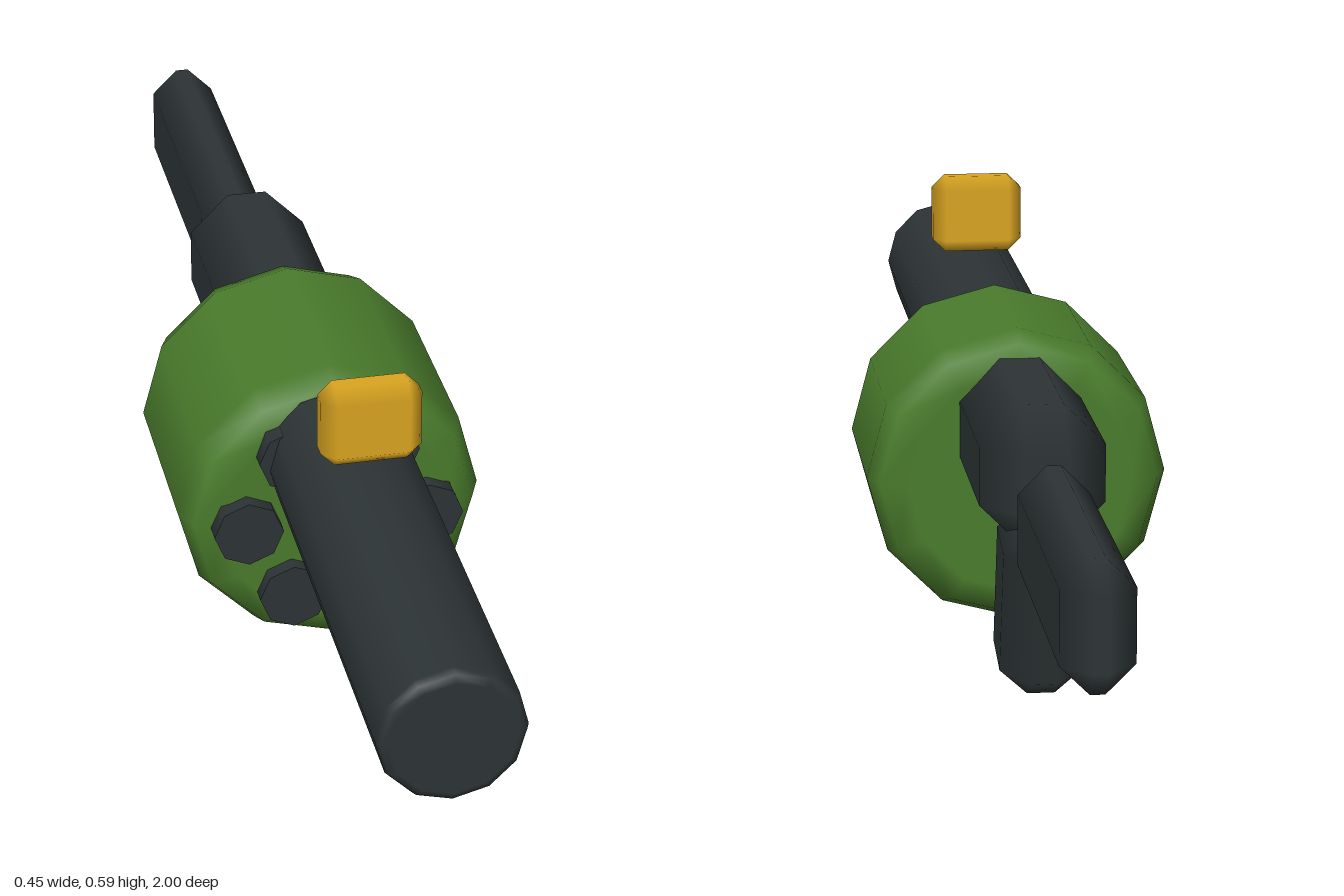
import * as THREE from 'three';
import { ConvexGeometry } from 'three/addons/geometries/ConvexGeometry.js';

const dark = new THREE.MeshStandardMaterial({ name: 'gunmetal', color: 0x2d3436 });
const green = new THREE.MeshStandardMaterial({ name: 'drumGreen', color: 0x4a7c2c });
const gold = new THREE.MeshStandardMaterial({ name: 'sightGold', color: 0xdaa520 });

// Box with chamfered edges; flat faces stay flat and the chamfers blend between them
function chamferBox(w, h, d, b) {
  const half = [w / 2, h / 2, d / 2];
  const points = [];
  for (let axis = 0; axis < 3; axis++)
    for (const sx of [-1, 1]) for (const sy of [-1, 1]) for (const sz of [-1, 1]) {
      const p = [sx, sy, sz].map((s, i) => s * (half[i] - (i === axis ? 0 : b)));
      points.push(new THREE.Vector3(...p));
    }
  const geo = new ConvexGeometry(points);
  const pos = geo.attributes.position;
  for (let i = 0; i < pos.count; i++) {
    const p = [pos.getX(i), pos.getY(i), pos.getZ(i)];
    const n = p.map((c, k) => (Math.abs(c) > half[k] - 1e-5 ? Math.sign(c) : 0));
    geo.attributes.normal.setXYZ(i, ...n);
  }
  return geo;
}

// Bevelled cylinder along z with flat caps and a two-step rounded rim
function bevelCylinder(r, z0, z1, b, sides) {
  const k = b * (1 - Math.SQRT1_2);
  const profile = [
    [0, z0, 0, -1], [r - b, z0, 0, -1], [r - k, z0 + k, 1, -1], [r, z0 + b, 1, 0],
    [r, z1 - b, 1, 0], [r - k, z1 - k, 1, 1], [r - b, z1, 0, 1], [0, z1, 0, 1],
  ];
  const geo = new THREE.LatheGeometry(profile.map(([x, y]) => new THREE.Vector2(x, y)), sides);
  const normal = geo.attributes.normal;
  for (let i = 0; i < normal.count; i++) {
    const phi = Math.floor(i / profile.length) / sides * Math.PI * 2;
    const [, , nr, ny] = profile[i % profile.length];
    const len = Math.hypot(nr, ny);
    normal.setXYZ(i, nr * Math.sin(phi) / len, ny / len, nr * Math.cos(phi) / len);
  }
  return geo.rotateX(Math.PI / 2);
}

export function createModel() {
  const model = new THREE.Group();
  model.name = 'drumLauncher';
  const add = (name, geo, material, x, y, z) => {
    const mesh = new THREE.Mesh(geo, material);
    mesh.name = name;
    mesh.position.set(x, y, z);
    model.add(mesh);
    return mesh;
  };

  add('barrel', bevelCylinder(0.102, 0.26, 1, 0.016, 12), dark, 0, 0.355, 0);
  add('drum', bevelCylinder(0.224, -0.12, 0.285, 0.056, 12), green, 0, 0.252, 0);

  // Ring of six chamber caps on the drum's front face
  const capGeo = new THREE.CylinderGeometry(0.051, 0.051, 0.04, 8).rotateX(Math.PI / 2);
  for (let i = 0; i < 6; i++) {
    const a = i * Math.PI / 3;
    add('chamber' + (i + 1), capGeo, dark, 0.133 * Math.cos(a), 0.252 + 0.133 * Math.sin(a), 0.288);
  }

  add('receiver', chamferBox(0.18, 0.205, 0.4, 0.06), dark, 0, 0.3375, -0.245);
  add('grip', chamferBox(0.122, 0.274, 0.162, 0.041), dark, 0, 0.152, -0.368)
    .rotation.x = -THREE.MathUtils.degToRad(15);
  add('stock', chamferBox(0.1, 0.182, 0.53, 0.04), dark, 0, 0.294, -0.735);
  add('sight', chamferBox(0.142, 0.122, 0.062, 0.02), gold, 0, 0.538, 0.493);

  return model;
}
